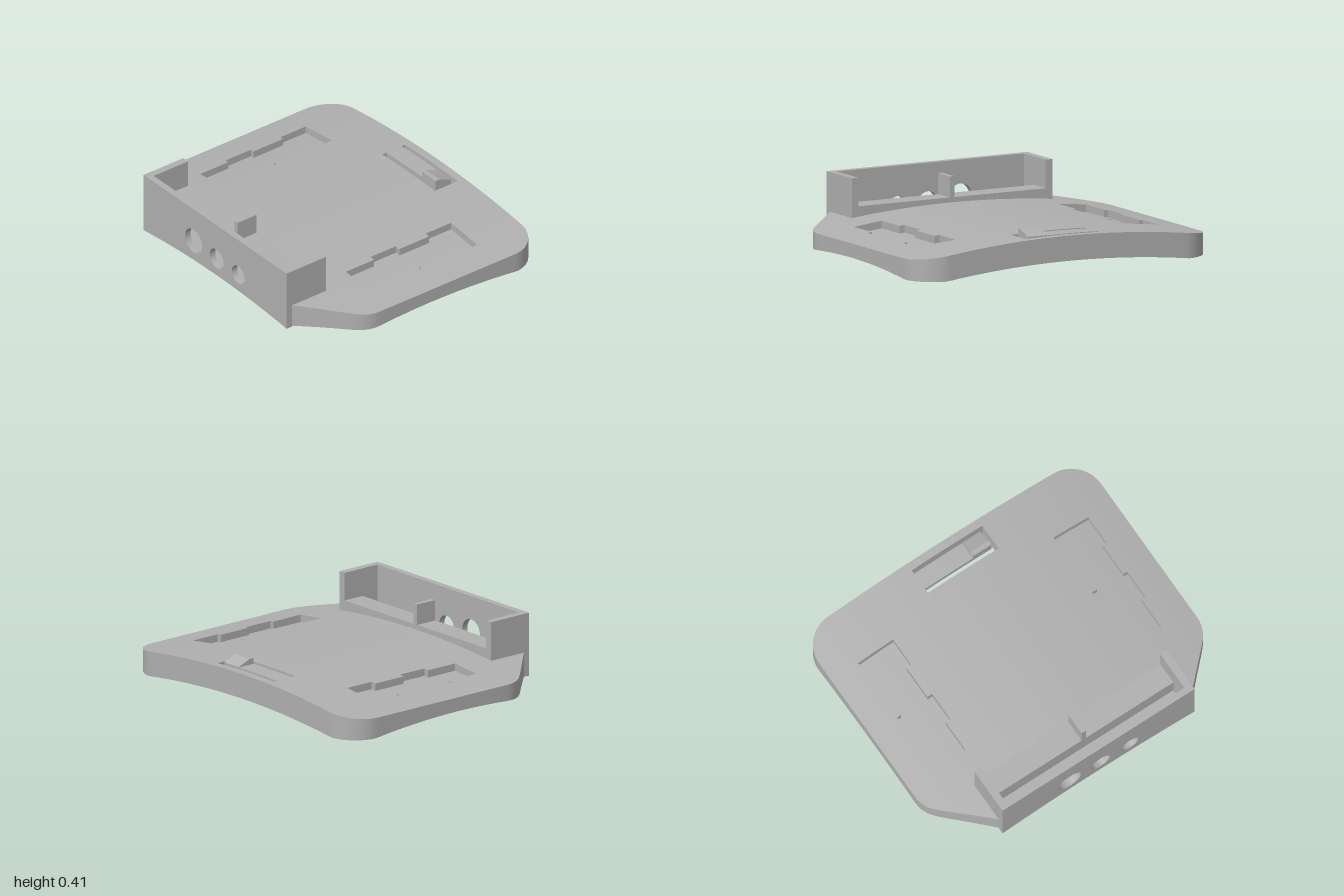
import * as THREE from 'three';
import { toCreasedNormals } from 'three/addons/utils/BufferGeometryUtils.js';

// Arched surfaces of the plate
const topY = (x) => 0.205 - 0.08 * x * x;
const bottomY = (x, z) => Math.max(0, 0.12 - 0.08 * x * x - 0.095 * z * z);

// Plate outline: rounded back corners, chamfered and rounded front corners
const R = 0.2;
const arc = (x) => Math.sqrt(Math.max(0, R * R - (x - 0.8) ** 2));
function backZ(x) {
  x = Math.abs(x);
  return x <= 0.8 ? -0.83 : -0.63 - arc(x);
}
function frontZ(x) {
  x = Math.abs(x);
  if (x <= 0.68) return 0.785;
  return x <= 0.941 ? 0.785 - (x - 0.68) : 0.38 + arc(x);
}

// Top and bottom heights of the solid around a point, or null where it is cut through
function section(x, z) {
  const ax = Math.abs(x);
  const flat = (h) => ({ top: () => h, bottom: bottomY });
  // front tray: side walls, divider, ledge and trough
  if (z > 0.53 && ax < 0.68) {
    if (ax > 0.635) return flat(0.405);
    if (z > 0.67) return flat(0.1);
    return flat(ax < 0.015 ? 0.36 : 0.235);
  }
  // stepped side pockets
  const wide = (z > -0.49 && z < -0.3) || (z > -0.08 && z < 0.11);
  const inPocket = wide ? ax > 0.567 && ax < 0.815 : ax > 0.6 && ax < 0.787;
  if (z > -0.49 && z < 0.32 && inPocket) {
    return { top: (px) => topY(px) - 0.045, bottom: bottomY };
  }
  // spring tongue inside its U-shaped slot
  if (x > -0.24 && x < 0.26 && z > -0.78 && z < -0.61) {
    if (x < 0.23 && z > -0.755 && z < -0.64) {
      return { top: topY, bottom: (px) => topY(px) - 0.035 };
    }
    return null;
  }
  return { top: topY, bottom: bottomY };
}

// Sorted grid lines: the given positions, with wide gaps subdivided
function gridLines(values, step) {
  const sorted = [...new Set(values)].sort((a, b) => a - b);
  const lines = [sorted[0]];
  for (let i = 1; i < sorted.length; i++) {
    const a = sorted[i - 1], b = sorted[i];
    const n = Math.ceil((b - a) / step);
    for (let k = 1; k <= n; k++) lines.push(k === n ? b : a + ((b - a) * k) / n);
  }
  return lines;
}

function plateGeometry() {
  const half = [0.015, 0.567, 0.6, 0.635, 0.68, 0.787, 0.815];
  for (let i = 0; i <= 12; i++) half.push(0.8 + R * Math.sin((i * Math.PI) / 24));
  const xs = gridLines([...half, ...half.map((x) => -x), -0.24, 0.23, 0.26], 0.06);
  const zs = gridLines([-0.83, -0.78, -0.755, -0.64, -0.61, -0.49, -0.3, -0.08, 0.11,
    0.32, 0.38, 0.53, 0.67, 0.785], 0.08);
  const clampZ = (x, z) => Math.min(frontZ(x), Math.max(backZ(x), z));

  const cell = (i, j) => {
    if (i < 0 || j < 0 || i >= xs.length - 1 || j >= zs.length - 1) return null;
    const span = (x) => clampZ(x, zs[j + 1]) - clampZ(x, zs[j]);
    if (span(xs[i]) + span(xs[i + 1]) < 1e-6) return null;
    return section((xs[i] + xs[i + 1]) / 2, (zs[j] + zs[j + 1]) / 2);
  };

  const positions = [];
  const tri = (a, b, c) => {
    const area = b.clone().sub(a).cross(c.clone().sub(a)).length();
    if (area > 1e-8) for (const p of [a, b, c]) positions.push(p.x, p.y, p.z);
  };
  const quad = (a, b, c, d) => { tri(a, b, c); tri(a, c, d); };
  const at = (p, h) => new THREE.Vector3(p[0], h(p[0], p[1]), p[1]);
  const wall = (a, b, low, high) => quad(at(a, low), at(b, low), at(b, high), at(a, high));

  for (let i = 0; i < xs.length - 1; i++) {
    for (let j = 0; j < zs.length - 1; j++) {
      const c = cell(i, j);
      if (!c) continue;
      const corner = (k, l) => [xs[k], clampZ(xs[k], zs[l])];
      const p = [corner(i, j), corner(i, j + 1), corner(i + 1, j + 1), corner(i + 1, j)];
      quad(...p.map((q) => at(q, c.top)));
      quad(...p.map((q) => at(q, c.bottom)).reverse());
      // walls towards lower or missing neighbours
      const next = [cell(i - 1, j), cell(i, j + 1), cell(i + 1, j), cell(i, j - 1)];
      next.forEach((n, k) => {
        const a = p[k], b = p[(k + 1) % 4];
        if (!n) return wall(a, b, c.bottom, c.top);
        if (c.top(...a) > n.top(...a) + 1e-6) wall(a, b, n.top, c.top);
        if (c.bottom(...a) < n.bottom(...a) - 1e-6) wall(a, b, c.bottom, n.bottom);
      });
    }
  }
  const geometry = new THREE.BufferGeometry();
  geometry.setAttribute('position', new THREE.Float32BufferAttribute(positions, 3));
  return toCreasedNormals(geometry, 0.45);
}

// Front wall with an arched lower edge and three round openings
function frontWallGeometry() {
  const shape = new THREE.Shape();
  shape.moveTo(-0.68, 0.405);
  for (let i = 0; i <= 24; i++) {
    const x = -0.68 + (1.36 * i) / 24;
    shape.lineTo(x, bottomY(x, 0.82));
  }
  shape.lineTo(0.68, 0.405);
  shape.closePath();
  for (const [x, y, r] of [[-0.205, 0.183, 0.08], [0.015, 0.17, 0.065], [0.22, 0.163, 0.06]]) {
    shape.holes.push(new THREE.Path().absarc(x, y, r, 0, Math.PI * 2, true));
  }
  const geometry = new THREE.ExtrudeGeometry(shape, { depth: 0.04, bevelEnabled: false, curveSegments: 24 });
  return toCreasedNormals(geometry.translate(0, 0, 0.785), 0.45);
}

// Wedge-shaped catch on the tongue, sloping down to the back
function catchGeometry() {
  const shape = new THREE.Shape();
  shape.moveTo(0.64, 0.18);
  shape.lineTo(0.755, 0.18);
  shape.lineTo(0.755, 0.206);
  shape.lineTo(0.67, 0.24);
  shape.lineTo(0.64, 0.24);
  shape.closePath();
  const geometry = new THREE.ExtrudeGeometry(shape, { depth: 0.13, bevelEnabled: false });
  return geometry.rotateY(Math.PI / 2).translate(0.1, 0, 0);
}

export function createModel() {
  const grey = new THREE.MeshStandardMaterial({ color: 0xb0b0b0 });
  grey.name = 'plainGrey';
  const model = new THREE.Group();
  model.name = 'mountingPlate';
  const add = (name, geometry) => {
    const mesh = new THREE.Mesh(geometry, grey);
    mesh.name = name;
    model.add(mesh);
  };
  add('archedPlateWithTray', plateGeometry());
  add('frontWall', frontWallGeometry());
  add('tongueCatch', catchGeometry());
  return model;
}
